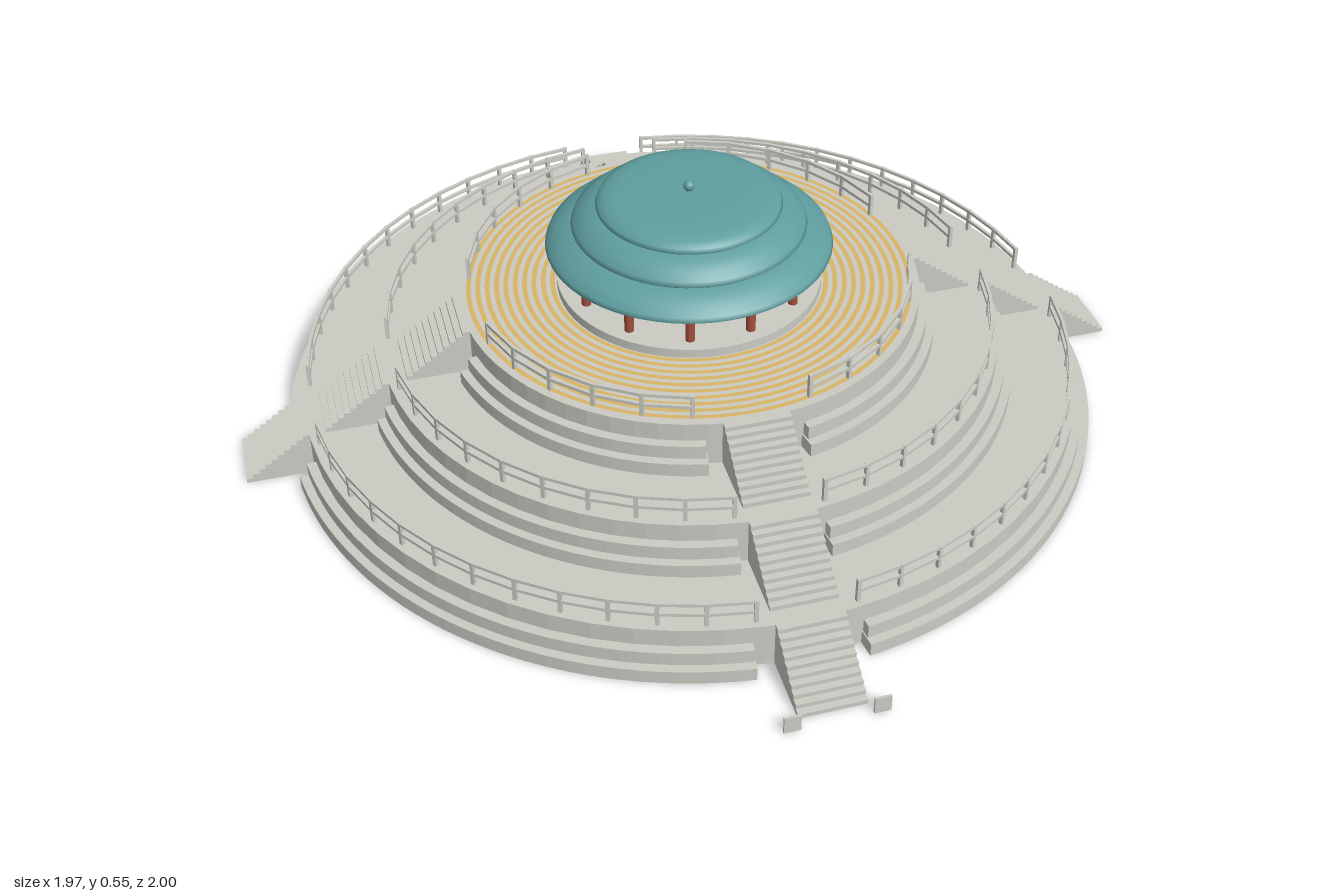
import * as THREE from 'three';

const mat = (name, color) => Object.assign(new THREE.MeshStandardMaterial({ color }), { name });

export function createModel() {
  const stone = mat('pale stone', 0xcbcbc4);
  const teal = mat('teal roof', 0x5f9ea0);
  const red = mat('red pillar', 0xa34f3c);
  const gold = mat('gold paving', 0xd9b566);

  const model = new THREE.Group();
  const centre = new THREE.Group();
  centre.name = 'terracedPavilion';
  centre.position.z = -0.013;
  model.add(centre);

  const add = (name, geo, material, x = 0, y = 0, z = 0, parent = centre) => {
    const mesh = new THREE.Mesh(geo, material);
    mesh.name = name;
    mesh.position.set(x, y, z);
    parent.add(mesh);
    return mesh;
  };

  // Quarter ring with a gap of half-width `gap` left at each stair
  const arcGeo = (r0, r1, gap, h) => {
    const a = Math.asin(gap / r1), b = Math.PI / 2 - a;
    const shape = new THREE.Shape();
    shape.absarc(0, 0, r1, a, b, false);
    shape.absarc(0, 0, r0, b, a, true);
    return new THREE.ExtrudeGeometry(shape, { depth: h, bevelEnabled: false, curveSegments: 16 })
      .rotateX(-Math.PI / 2);
  };

  // Straight flight rising inwards from r1 to r0, seen from the side
  const stairGeo = (r0, r1, rise, steps, width) => {
    const shape = new THREE.Shape();
    const run = (r1 - r0) / steps;
    shape.moveTo(r0 - 0.01, 0);
    shape.lineTo(r1, 0);
    for (let i = 0; i < steps; i++) {
      const y = ((i + 1) * rise) / steps;
      shape.lineTo(r1 - i * run, y);
      shape.lineTo(r1 - (i + 1) * run, y);
    }
    shape.lineTo(r0 - 0.01, rise);
    return new THREE.ExtrudeGeometry(shape, { depth: width, bevelEnabled: false })
      .translate(0, 0, -width / 2);
  };

  // Three terraces, each with a drum, two low steps, four stairs and railings
  const terraces = [
    { r: 0.848, gap: 0.112, rail: 0.832, railGap: 0.10, bays: 12, foot: 0.987 },
    { r: 0.672, gap: 0.092, rail: 0.655, railGap: 0.09, bays: 9, foot: 0.81 },
    { r: 0.496, gap: 0.105, rail: 0.475, railGap: 0.12, bays: 5, foot: 0.63 },
  ];
  terraces.forEach((t, level) => {
    const tier = new THREE.Group();
    tier.name = `terrace${level + 1}`;
    tier.position.y = level * 0.1;
    centre.add(tier);

    const drum = new THREE.CylinderGeometry(t.r, t.r, 0.1, 64).toNonIndexed();
    drum.computeVertexNormals();
    add('drum', drum, stone, 0, 0.05, 0, tier);

    const lowStep = arcGeo(t.r - 0.01, t.r + 0.037, t.gap, 0.03);
    const highStep = arcGeo(t.r - 0.01, t.r + 0.019, t.gap, 0.06);
    const stair = stairGeo(t.r - 0.003, t.foot, 0.1, 10, 0.136);
    const a = Math.asin(t.railGap / t.rail);
    const bay = (Math.PI / 2 - 2 * a) / t.bays;
    const barGeo = new THREE.BoxGeometry(0.007, 0.007, 2 * t.rail * Math.sin(bay / 2) + 0.006);
    const postGeo = new THREE.BoxGeometry(0.008, 0.056, 0.008);

    for (let q = 0; q < 4; q++) {
      const side = new THREE.Group();
      side.name = 'terraceQuarter';
      side.rotation.y = (q * Math.PI) / 2;
      tier.add(side);
      add('lowerRingStep', lowStep, stone, 0, 0, 0, side);
      add('upperRingStep', highStep, stone, 0, 0, 0, side);
      add('staircase', stair, stone, 0, 0, 0, side);

      // Railing posts with a straight top and middle bar in each bay
      for (let i = 0; i <= t.bays; i++) {
        const p = a + i * bay;
        add('railPost', postGeo, stone, t.rail * Math.cos(p), 0.128, -t.rail * Math.sin(p), side).rotation.y = p;
        if (i === t.bays) continue;
        const m = p + bay / 2, rm = t.rail * Math.cos(bay / 2);
        for (const y of [0.127, 0.152]) {
          add('railBar', barGeo, stone, rm * Math.cos(m), y, -rm * Math.sin(m), side).rotation.y = m;
        }
      }
    }
  });

  // Concentric gold bands in the upper floor
  for (let i = 0; i < 10; i++) {
    const r = 0.29 + i * 0.02;
    add('pavingBand', new THREE.RingGeometry(r, r + 0.01, 72).rotateX(-Math.PI / 2), gold, 0, 0.302, 0);
  }

  // Pavilion podium and its ring of pillars
  add('podium', new THREE.CylinderGeometry(0.285, 0.285, 0.02, 64), stone, 0, 0.31, 0);
  const pillar = new THREE.CylinderGeometry(0.01, 0.01, 0.09, 16);
  for (let i = 0; i < 12; i++) {
    const p = ((i + 0.5) * Math.PI) / 6;
    add('pillar', pillar, red, 0.25 * Math.sin(p), 0.362, 0.25 * Math.cos(p));
  }

  // Three stacked roof shells, listed as radius and height from below
  const roofs = {
    lowerRoof: [[0, 0.398], [0.3, 0.398], [0.306, 0.402], [0.302, 0.412], [0.285, 0.427], [0.262, 0.438], [0.235, 0.446], [0, 0.45]],
    middleRoof: [[0, 0.444], [0.243, 0.444], [0.25, 0.45], [0.246, 0.46], [0.23, 0.474], [0.21, 0.485], [0.18, 0.493], [0, 0.495]],
    upperRoof: [[0, 0.489], [0.19, 0.489], [0.197, 0.495], [0.193, 0.504], [0.178, 0.512], [0.155, 0.517], [0.1, 0.519], [0, 0.52]],
  };
  for (const [name, pts] of Object.entries(roofs)) {
    add(name, new THREE.LatheGeometry(pts.map(([x, y]) => new THREE.Vector2(x, y)), 64), teal);
  }
  add('finialStem', new THREE.CylinderGeometry(0.004, 0.006, 0.012, 12), teal, 0, 0.523, 0);
  add('finialBall', new THREE.SphereGeometry(0.012, 20, 14), teal, 0, 0.533, 0);

  // Small upright slabs flanking the front stair
  for (const s of [-1, 1]) {
    add('entranceSlab', new THREE.BoxGeometry(0.033, 0.038, 0.005), stone, s * 0.087, 0.019, 0.9975 + 0.013 - 0.013 + 0.013);
  }
  return model;
}
